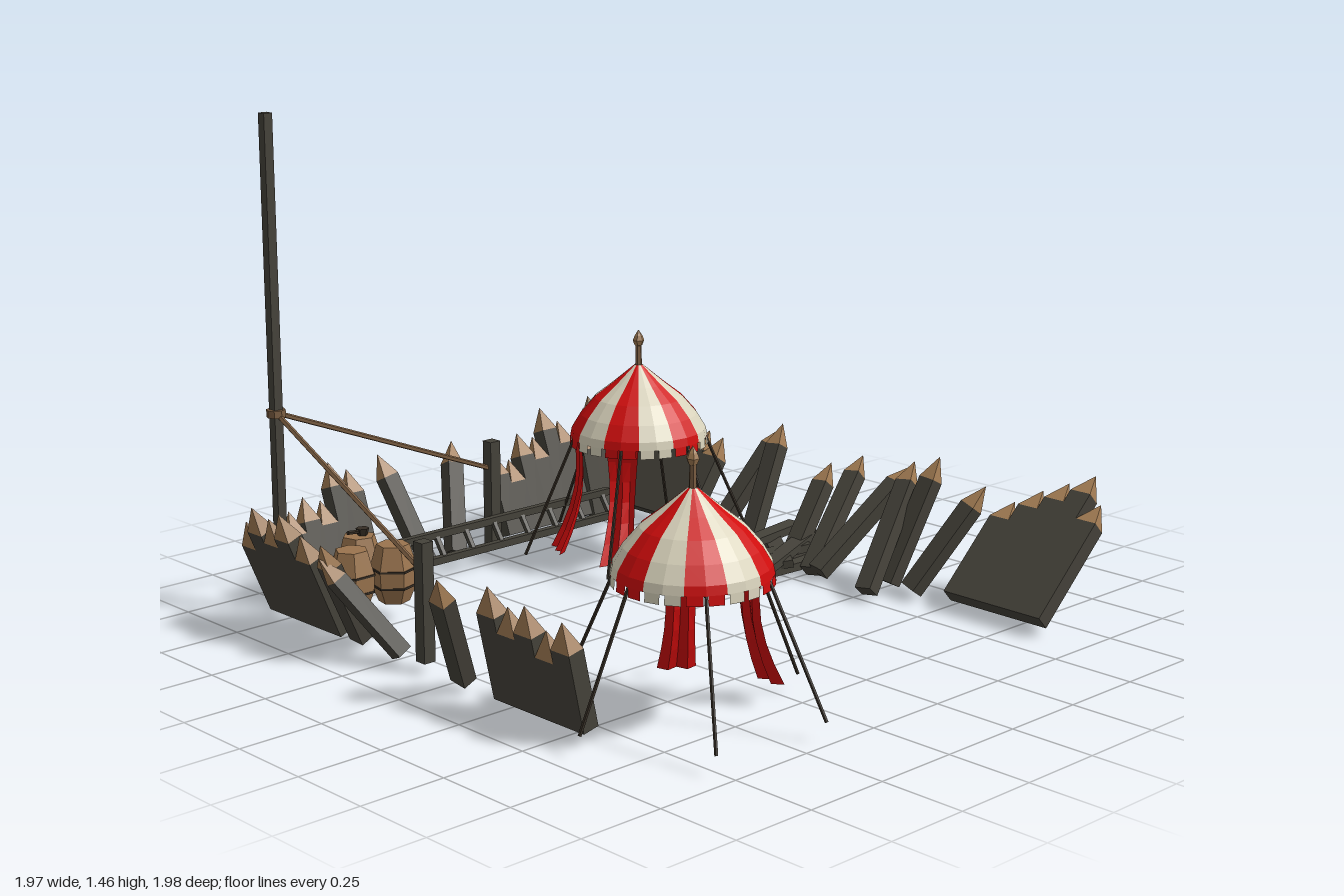
import * as THREE from 'three';
import { mergeGeometries } from 'three/addons/utils/BufferGeometryUtils.js';

const mat = (name, color, extra = {}) => {
  const m = new THREE.MeshStandardMaterial({ color, flatShading: true, ...extra });
  m.name = name;
  return m;
};
const V = (p) => new THREE.Vector3(...p);

export function createModel() {
  const camp = new THREE.Group();
  camp.name = 'camp';
  const darkWood = mat('dark wood', 0x45423a);
  const cutWood = mat('cut wood', 0xa07a52);
  const barrelWood = mat('barrel wood', 0x9a744e);
  const ropeBrown = mat('rope', 0x7d5f43);
  const lineDark = mat('dark line', 0x352d24);
  const red = mat('red cloth', 0xd00c0c, { side: THREE.DoubleSide });
  const cream = mat('cream cloth', 0xd9d3bc, { side: THREE.DoubleSide });

  const add = (parent, name, geo, material) => {
    const m = new THREE.Mesh(geo, material);
    m.name = name;
    parent.add(m);
    return m;
  };
  const group = (name, parent = camp) => {
    const g = new THREE.Group();
    g.name = name;
    parent.add(g);
    return g;
  };

  // Matrix whose y axis runs from a to b, x axis follows the given side
  const along = (a, b, side) => {
    const y = b.clone().sub(a).normalize();
    const x = V(side).addScaledVector(y, -V(side).dot(y)).normalize();
    const z = x.clone().cross(y);
    return new THREE.Matrix4().makeBasis(x, y, z).setPosition(a);
  };
  const beam = (parent, name, a, b, w, d, material, side = [0.3, 0, 1]) => {
    const A = V(a), B = V(b), len = A.distanceTo(B);
    const g = new THREE.BoxGeometry(w, len, d).translate(0, len / 2, 0);
    return add(parent, name, g.applyMatrix4(along(A, B, side)), material);
  };
  const rope = (parent, name, a, b, r, material) => {
    const A = V(a), B = V(b), len = A.distanceTo(B);
    const g = new THREE.CylinderGeometry(r, r, len, 5).translate(0, len / 2, 0);
    return add(parent, name, g.applyMatrix4(along(A, B, [0.31, 0.11, 1])), material);
  };
  // Sharpened stake: square shaft with a pale pyramid point
  const stake = (parent, a, tip, side, w = 0.055, d = 0.045, point = 0.075) => {
    const A = V(a), T = V(tip), len = A.distanceTo(T) - point;
    const M = along(A, T, side);
    add(parent, 'stakeShaft', new THREE.BoxGeometry(w, len, d).translate(0, len / 2, 0).applyMatrix4(M), darkWood);
    const cone = new THREE.ConeGeometry(Math.SQRT1_2, point, 4).rotateY(Math.PI / 4);
    cone.scale(w, 1, d).translate(0, len + point / 2, 0);
    add(parent, 'stakePoint', cone.applyMatrix4(M), cutWood);
  };

  // Leaning palisade sections: from, to (x, z), lean per unit height (x, z), tip heights
  const walls = [
    [[-0.78, -0.84], [-0.43, -0.84], [0, -0.36], [0.2, 0.22, 0.25, 0.23, 0.33, 0.3]],
    [[0.07, -0.84], [0.42, -0.84], [0, -0.38], [0.25, 0.22, 0.29, 0.27, 0.35, 0.3]],
    [[0.42, -0.83], [0.58, -0.83], [0, -0.26], [0.28, 0.37, 0.3]],
    [[0.59, -0.87], [0.59, -0.53], [0.7, 0], [0.33, 0.27, 0.29, 0.26, 0.25]],
    [[0.62, 0.51], [0.62, 0.86], [1.08, 0], [0.24, 0.28, 0.31, 0.34, 0.28]],
    [[-0.84, -0.78], [-0.84, -0.44], [-0.42, 0], [0.28, 0.34, 0.32, 0.35, 0.3]],
    [[-0.85, 0.24], [-0.85, 0.59], [-0.22, 0], [0.32, 0.28, 0.3, 0.25, 0.29]],
  ];
  for (const [from, to, lean, tips] of walls) {
    const g = group('palisadeWall');
    const dx = to[0] - from[0], dz = to[1] - from[1], n = tips.length;
    tips.forEach((h, i) => {
      const t = (i + 0.5) / n, x = from[0] + dx * t, z = from[1] + dz * t;
      stake(g, [x, 0.04, z], [x + lean[0] * h, 0.04 + h, z + lean[1] * h], [dx, 0, dz],
        Math.hypot(dx, dz) / n, 0.05);
    });
  }

  // Loose stakes: base, tip, side
  const loose = group('looseStakes');
  const sx = [1, 0, 0], sz = [0, 0, 1];
  [
    [[-0.25, 0.03, -0.84], [-0.31, 0.35, -0.99], sx],
    [[-0.13, 0.03, -0.84], [-0.02, 0.34, -0.99], sx],
    [[0.61, 0.03, -0.44], [0.865, 0.34, -0.39], sz],
    [[0.61, 0.03, -0.29], [0.81, 0.37, -0.34], sz],
    [[0.56, 0.02, -0.07], [0.79, 0.29, -0.11], sz],
    [[0.55, 0.02, 0.03], [0.87, 0.31, -0.05], sz],
    [[0.54, 0.03, 0.07], [0.88, 0.31, 0.14], sz],
    [[0.5, 0.03, 0.3], [0.79, 0.36, 0.23], sz],
    [[0.61, 0.03, 0.29], [0.8, 0.39, 0.32], sz],
    [[0.61, 0.03, 0.38], [0.81, 0.33, 0.49], sz],
    [[-0.75, 0.03, -0.43], [-0.97, 0.33, -0.6], sz],
    [[-0.82, 0.03, -0.4], [-0.98, 0.34, -0.36], sz],
    [[-0.82, 0.03, -0.22], [-0.98, 0.3, -0.37], sz],
    [[-0.83, 0.03, 0.06], [-0.98, 0.36, 0.145], sz],
  ].forEach(([a, b, s]) => stake(loose, a, b, s));

  // Fallen planks
  const planks = group('fallenPlanks');
  [
    [[0.33, 0.06, -0.1], [0.62, 0.07, -0.05]],
    [[0.36, 0.05, 0.0], [0.68, 0.09, -0.09]],
    [[0.42, 0.09, -0.14], [0.68, 0.1, -0.16]],
    [[0.47, 0.05, 0.0], [0.58, 0.08, -0.17]],
    [[0.35, 0.03, -0.04], [0.66, 0.03, -0.02]],
  ].forEach(([a, b]) => beam(planks, 'plank', a, b, 0.05, 0.025, darkWood));

  // Mast with rope collar, two short posts and stay ropes
  const mast = group('mast');
  beam(mast, 'mastPole', [-0.805, 0.02, -0.8], [-0.805, 1.46, -0.8], 0.028, 0.028, darkWood, sx);
  add(mast, 'mastCollar', new THREE.CylinderGeometry(0.028, 0.028, 0.022, 8), ropeBrown).position.set(-0.805, 0.6, -0.8);
  for (const [x, z] of [[0, -0.815], [-0.815, -0.12]]) {
    beam(mast, 'stayPost', [x, 0.03, z], [x, 0.37, z], 0.038, 0.038, darkWood, sx);
    rope(mast, 'stayRope', [-0.805, 0.6, -0.8], [x, 0.28, z], 0.008, ropeBrown);
  }

  // Ladder lying on its side
  const ladder = group('ladder');
  beam(ladder, 'ladderRail', [-0.655, 0.125, -0.785], [0.46, 0.125, -0.785], 0.022, 0.022, darkWood);
  beam(ladder, 'ladderRail', [-0.655, 0.06, -0.74], [0.46, 0.06, -0.74], 0.022, 0.022, darkWood);
  for (let i = 0; i < 10; i++) {
    const x = -0.59 + i * 0.113;
    beam(ladder, 'ladderRung', [x, 0.06, -0.74], [x, 0.125, -0.785], 0.014, 0.014, darkWood, sx);
  }

  // Six-sided barrels
  [[-0.63, -0.66], [-0.73, -0.56], [-0.61, -0.525]].forEach(([x, z], i) => {
    const b = group('barrel');
    b.position.set(x, 0.06, z);
    b.rotation.y = 0.25 + i * 0.3;
    const profile = [[0, 0], [0.045, 0], [0.065, 0.05], [0.068, 0.1], [0.048, 0.17], [0, 0.17]];
    add(b, 'barrelBody', new THREE.LatheGeometry(profile.map((p) => new THREE.Vector2(...p)), 6), barrelWood);
    for (const [y, r] of [[0.05, 0.068], [0.1, 0.071]])
      add(b, 'barrelHoop', new THREE.CylinderGeometry(r, r, 0.006, 6), lineDark).position.y = y;
  });
  const ladle = group('ladle');
  rope(ladle, 'ladleHandle', [-0.68, 0.25, -0.645], [-0.62, 0.24, -0.66], 0.006, lineDark);
  add(ladle, 'ladleBowl', new THREE.CylinderGeometry(0.02, 0.014, 0.022, 6), lineDark).position.set(-0.62, 0.24, -0.655);

  // Striped pavilion
  const tent = (x, z, turn) => {
    const g = group('tent');
    g.position.set(x, 0, z);
    g.rotation.y = THREE.MathUtils.degToRad(turn);
    const roof = [[0.21, 0.41], [0.205, 0.435], [0.178, 0.48], [0.135, 0.53], [0.08, 0.573], [0.012, 0.63]]
      .map((p) => new THREE.Vector2(...p));
    const hem = [new THREE.Vector2(0.212, 0.385), new THREE.Vector2(0.21, 0.411)];
    const step = Math.PI / 6, sets = [[], []];
    for (let i = 0; i < 12; i++) {
      const start = (i - 0.5) * step;
      sets[i % 2].push(new THREE.LatheGeometry(roof, 2, start, step));
      for (const k of [0.05, 0.55])
        sets[i % 2].push(new THREE.LatheGeometry(hem, 1, start + k * step, step * 0.38));
    }
    add(g, 'redRoofStripes', mergeGeometries(sets[0]), red);
    add(g, 'creamRoofStripes', mergeGeometries(sets[1]), cream);
    // Finial
    add(g, 'finialPole', new THREE.CylinderGeometry(0.009, 0.011, 0.1, 6), ropeBrown).position.y = 0.65;
    const knob = [[0, 0.685], [0.012, 0.69], [0.018, 0.705], [0.012, 0.72], [0, 0.738]];
    add(g, 'finialKnob', new THREE.LatheGeometry(knob.map((p) => new THREE.Vector2(...p)), 6), cutWood);
    // Guy lines
    for (let i = 0; i < 6; i++) {
      const a = i * 2 * step, s = Math.sin(a), c = Math.cos(a);
      rope(g, 'guyLine', [0.2 * s, 0.42, 0.2 * c], [0.36 * s, 0.055, 0.36 * c], 0.005, lineDark);
    }
    // Door flaps, rippled and kicked out at the foot
    for (const phi of [-60, -120]) {
      const flap = new THREE.PlaneGeometry(0.105, 0.37, 4, 6);
      const p = flap.attributes.position;
      for (let i = 0; i < p.count; i++) {
        const u = p.getX(i), t = 0.5 - p.getY(i) / 0.37;
        p.setX(i, u * (1 - 0.25 * Math.sin(t * Math.PI)));
        p.setZ(i, 0.195 - 0.02 * Math.sin(t * Math.PI) + 0.06 * t * t + 0.012 * t * Math.cos(u * 118));
        p.setY(i, p.getY(i) + 0.245);
      }
      add(g, 'doorFlap', flap.rotateY(THREE.MathUtils.degToRad(phi)), red);
    }
  };
  tent(-0.565, 0.66, 205);
  tent(0.28, -0.445, 2);

  return camp;
}
